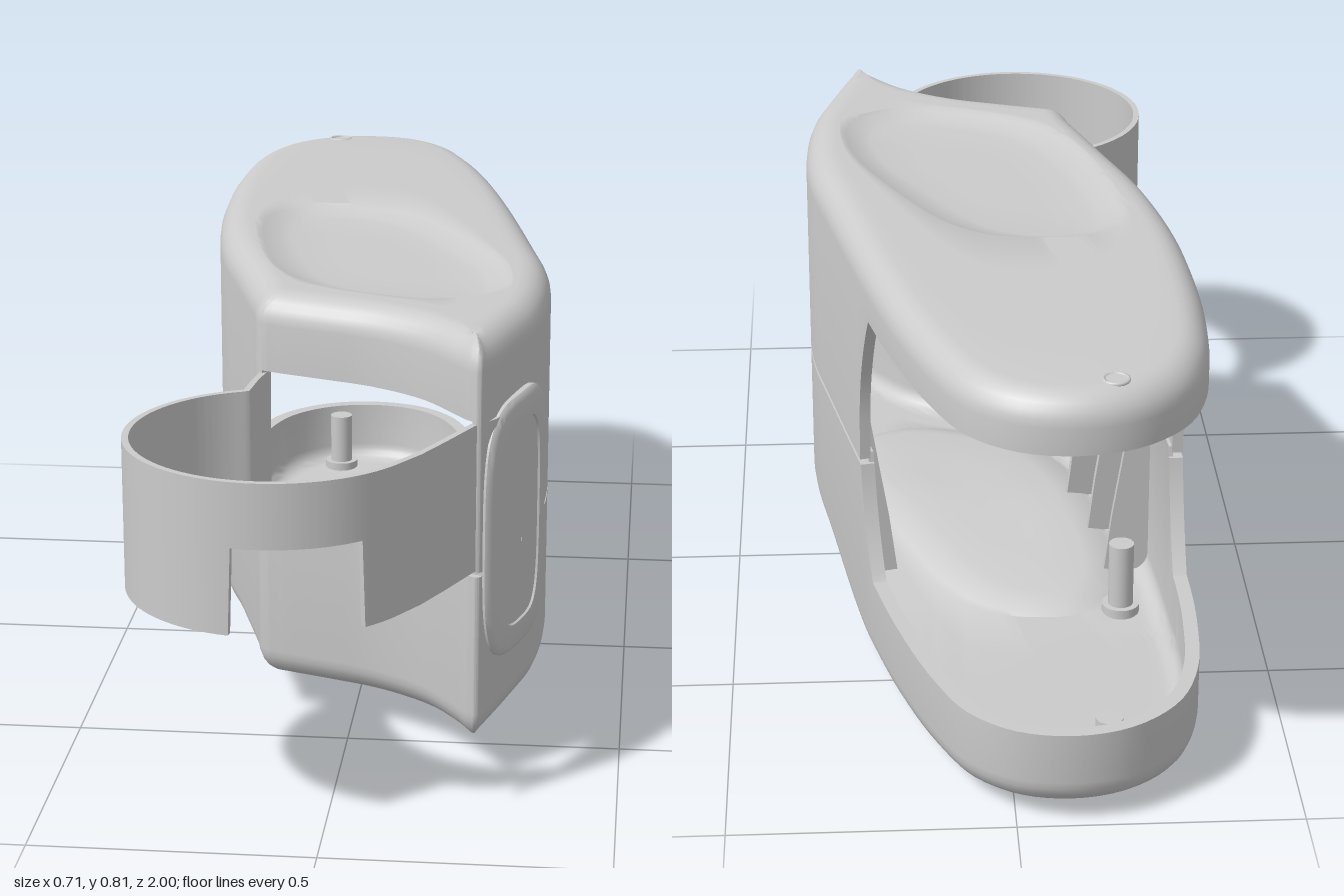
import * as THREE from 'three';
import { toCreasedNormals } from 'three/addons/utils/BufferGeometryUtils.js';

const material = new THREE.MeshStandardMaterial({ color: 0xcccccc, side: THREE.DoubleSide });
const clamp = THREE.MathUtils.clamp, lerp = THREE.MathUtils.lerp;

// Skin rows of [x, y, z] points into one surface.
function loft(rows, closed, flip) {
  const n = rows[0].length, index = [];
  for (let j = 0; j < rows.length - 1; j++) {
    for (let i = 0; i < (closed ? n : n - 1); i++) {
      const k = (i + 1) % n;
      const a = j * n + i, b = j * n + k, c = b + n, d = a + n;
      if (flip) index.push(a, b, d, b, c, d);
      else index.push(a, d, b, b, d, c);
    }
  }
  const g = new THREE.BufferGeometry();
  g.setAttribute('position', new THREE.Float32BufferAttribute(rows.flat(2), 3));
  g.setIndex(index);
  return toCreasedNormals(g, 0.6);
}

function add(group, name, geometry) {
  const m = new THREE.Mesh(geometry, material);
  m.name = name;
  group.add(m);
  return m;
}

const closedCurve = (pts) => {
  const c = new THREE.CatmullRomCurve3(pts.map(([x, z]) => new THREE.Vector3(x, 0, z)), true);
  c.arcLengthDivisions = 2000;
  return c;
};

// Plan outline of the case, counter-clockwise from above.
const outlineCurve = closedCurve([
  [-0.1, -1], [-0.2, -0.975], [-0.285, -0.9], [-0.33, -0.79], [-0.348, -0.62], [-0.348, -0.45],
  [-0.335, -0.26], [-0.298, -0.04], [-0.245, 0.14], [-0.19, 0.32], [-0.172, 0.38], [-0.14, 0.397],
  [-0.05, 0.43], [0.04, 0.465], [0.135, 0.53], [0.195, 0.605], [0.228, 0.648], [0.246, 0.656],
  [0.262, 0.63], [0.308, 0.48], [0.337, 0.36], [0.348, 0.2], [0.34, 0.07], [0.312, -0.08],
  [0.243, -0.42], [0.195, -0.62], [0.137, -0.8], [0.08, -0.915], [0, -0.98]]);

// Shallow panel pressed into the top and bottom faces.
const CX = 0.02, CZ = 0.04;
const panelOuter = closedCurve([[-0.24, -0.22], [-0.19, -0.305], [-0.01, -0.31], [0.08, -0.25],
  [0.19, -0.06], [0.27, 0.16], [0.265, 0.31], [0.14, 0.38], [-0.08, 0.3], [-0.17, 0.18]]).getPoints(160);
const panelInner = closedCurve([[-0.18, -0.2], [-0.15, -0.255], [-0.06, -0.26], [0.02, -0.21],
  [0.12, -0.04], [0.2, 0.13], [0.215, 0.28], [0.14, 0.32], [-0.04, 0.245], [-0.105, 0.14]]).getPoints(160);

// Where a ray from the panel centre toward (x, z) meets a loop.
function rayHit(loop, x, z) {
  const dx = x - CX, dz = z - CZ;
  for (let i = 0; i < loop.length - 1; i++) {
    const p = loop[i], q = loop[i + 1];
    const s0 = dx * (p.z - CZ) - dz * (p.x - CX), s1 = dx * (q.z - CZ) - dz * (q.x - CX);
    if (s0 * s1 > 0 || s0 === s1) continue;
    const t = s0 / (s0 - s1), hx = lerp(p.x, q.x, t), hz = lerp(p.z, q.z, t);
    if ((hx - CX) * dx + (hz - CZ) * dz > 0) return [hx, hz];
  }
  return [CX, CZ];
}

// Outline samples with softened inward directions, denser near the jaw cut.
function sampleOutline() {
  const N = 1200, W = 28, pts = outlineCurve.getSpacedPoints(N).slice(0, N), out = [];
  pts.forEach((p, i) => {
    const dense = (p.z > -0.47 && p.z < -0.35) || (p.z > 0.37 && p.z < 0.4) || p.z > 0.62;
    if (i % 8 && !dense) return;
    const t = pts[(i + W) % N].clone().sub(pts[(i - W + N) % N]).normalize();
    out.push({ x: p.x, z: p.z, nx: t.z, nz: -t.x,
      outer: rayHit(panelOuter, p.x, p.z), inner: rayHit(panelInner, p.x, p.z) });
  });
  return out;
}
const outline = sampleOutline();

const topY = () => 0.813;
const bottomY = (z) => z < -0.4 ? (-0.4 - z) * 0.055
  : 0.07 * THREE.MathUtils.smoothstep(z, -0.4, 0.12);
const isFront = (p) => p.z > 0.385 && p.x < 0.235;
const jaw = (p) => 0.265 * Math.sqrt(clamp((-0.365 - p.z) / 0.085, 0, 1));
const lowerRim = (p) => p.z < -0.365 ? Math.min(0.385, 0.445 - jaw(p)) : 0.385;
const upperRim = (p) => isFront(p) ? 0.67 : p.z < -0.365 ? 0.445 + jaw(p) : 0.393;

// One half of the hollow case; s = 1 for the top, -1 for the bottom.
function halfShell(s, capY, rim) {
  const T = 0.02, R = 0.055, D = 0.02, rows = [];
  const row = (f) => rows.push(outline.map(f));
  const inset = (p, d) => [p.x + p.nx * d, p.z + p.nz * d];
  const at = ([x, z], drop) => [x, capY(z) - s * drop, z];
  const mix = (a, b, t) => [lerp(a[0], b[0], t), lerp(a[1], b[1], t)];
  const cap = (t, reverse) => {
    const list = [
      () => at([CX, CZ], D + t),
      (p) => at(mix([CX, CZ], p.inner, 0.5), D + t),
      (p) => at(p.inner, D + t),
      (p) => at(mix(p.inner, p.outer, 0.3), D * 0.85 + t),
      (p) => at(mix(p.inner, p.outer, 0.85), D * 0.3 + t),
      (p) => at(p.outer, t)];
    for (const k of [0.25, 0.5, 0.75]) list.push((p) => at(mix(p.outer, inset(p, R), k), t));
    const r = R - t;
    for (let k = 0; k <= 6; k++) {
      const a = k / 6 * Math.PI / 2;
      list.push((p) => {
        const [x, z] = inset(p, t + r * (1 - Math.sin(a)));
        return [x, capY(p.z + p.nz * R) - s * (t + r * (1 - Math.cos(a))), z];
      });
    }
    (reverse ? list.reverse() : list).forEach(row);
  };
  const rimRow = (d, lift) => row((p) => {
    const [x, z] = inset(p, d);
    return [x, rim(p) + (isFront(p) || p.z < -0.36 ? 0 : lift), z];
  });
  cap(0, false);
  rimRow(0, 0);
  rimRow(T - 0.003, 0);
  if (s < 0) { // tongue closing the side seam
    rimRow(T - 0.002, 0.02);
    rimRow(T + 0.006, 0.02);
  }
  rimRow(T, 0);
  cap(T, true);
  return loft(rows, true, s < 0);
}

// Thin band that loops forward, with a window cut from its lower edge.
function strapGeometry() {
  const path = [[-0.165, 0.375], [-0.174, 0.43]];
  for (let i = 0; i <= 180; i++) {
    const a = THREE.MathUtils.degToRad(lerp(-109, -327, i / 180));
    path.push([-0.097 + 0.257 * Math.cos(a), 0.737 + 0.257 * Math.sin(a)]);
  }
  path.push([0.155, 0.82], [0.19, 0.75], [0.235, 0.655], [0.268, 0.615], [0.3, 0.53]);
  const side = (d, top) => path.map(([x, z], i) => {
    const a = path[Math.max(i - 1, 0)], b = path[Math.min(i + 1, path.length - 1)];
    const l = Math.hypot(b[0] - a[0], b[1] - a[1]);
    const open = z > 0.9 && x > -0.14 && x < 0.072;
    return [x + (b[1] - a[1]) / l * d, top ? 0.665 : open ? 0.55 : 0.396, z - (b[0] - a[0]) / l * d];
  });
  const h = 0.006;
  return loft([side(-h, true), side(-h, false), side(h, false), side(h, true), side(-h, true)], false, false);
}

// Curved grip pad on the flank, with a sunken centre.
function padGeometry() {
  const surfaceX = (z) => {
    const t = (0.65 - z) / 0.29;
    return 0.26 + 0.126 * t - 0.038 * t * t;
  };
  const levels = [[0, -0.03], [0, -0.002], [0.004, 0.003], [0.012, 0.006], [0.05, 0.006],
    [0.052, 0.002], [0.09, 0.002], [0.142, 0.002]];
  const pow = (v) => Math.sign(v) * Math.pow(Math.abs(v), 0.52);
  const rows = levels.map(([d, h]) => Array.from({ length: 72 }, (_, i) => {
    const a = i / 72 * Math.PI * 2;
    const z = 0.508 + (0.143 - d) * pow(Math.cos(a));
    const y = 0.4425 + (0.238 - d) * pow(Math.sin(a));
    return [surfaceX(z) + h * 0.92, y, z + h * 0.4];
  }));
  return loft(rows, true, false);
}

export function createModel() {
  const model = new THREE.Group();
  model.name = 'handheldCase';

  add(model, 'upperShell', halfShell(1, topY, upperRim));
  add(model, 'lowerShell', halfShell(-1, bottomY, lowerRim));
  add(model, 'strap', strapGeometry());
  add(model, 'gripPad', padGeometry());

  // Tapered stiffening fins inside both side walls
  const fin = new THREE.Shape([[0, 0], [0.09, 0], [0.075, 0.12], [0.02, 0.46], [0, 0.46]]
    .map(([x, y]) => new THREE.Vector2(x, y)));
  const finGeometry = new THREE.ExtrudeGeometry(fin, { depth: 0.01, bevelEnabled: false });
  for (const side of [-1, 1]) {
    for (const z of [-0.17, -0.04, 0.09]) {
      const wall = outline.filter((p) => p.x * side > 0 && p.z < 0.36)
        .reduce((a, b) => Math.abs(a.z - z) < Math.abs(b.z - z) ? a : b);
      const m = add(model, 'stiffeningFin', finGeometry);
      m.position.set(wall.x + wall.nx * 0.018, bottomY(z) + 0.02, wall.z + wall.nz * 0.018);
      m.rotation.y = Math.atan2(-wall.nz, wall.nx);
    }
  }

  // Assembly pins on the floor and matching sockets under the roof
  for (const [x, z] of [[-0.163, -0.925], [-0.24, -0.3]]) {
    const y = bottomY(z) + 0.015;
    add(model, 'pin', new THREE.CylinderGeometry(0.024, 0.024, 0.17 - y, 24)).position.set(x, (0.17 + y) / 2, z);
    add(model, 'pinBase', new THREE.CylinderGeometry(0.036, 0.036, 0.02, 24)).position.set(x, y + 0.01, z);
    add(model, 'socket', new THREE.CylinderGeometry(0.026, 0.026, 0.06, 24, 1, true)).position.set(x, 0.765, z);
  }

  // Small eyelet at the rear of the roof
  const eyelet = add(model, 'eyelet', new THREE.TorusGeometry(0.021, 0.004, 8, 28));
  eyelet.rotation.x = Math.PI / 2;
  eyelet.position.set(-0.163, 0.811, -0.925);
  return model;
}
